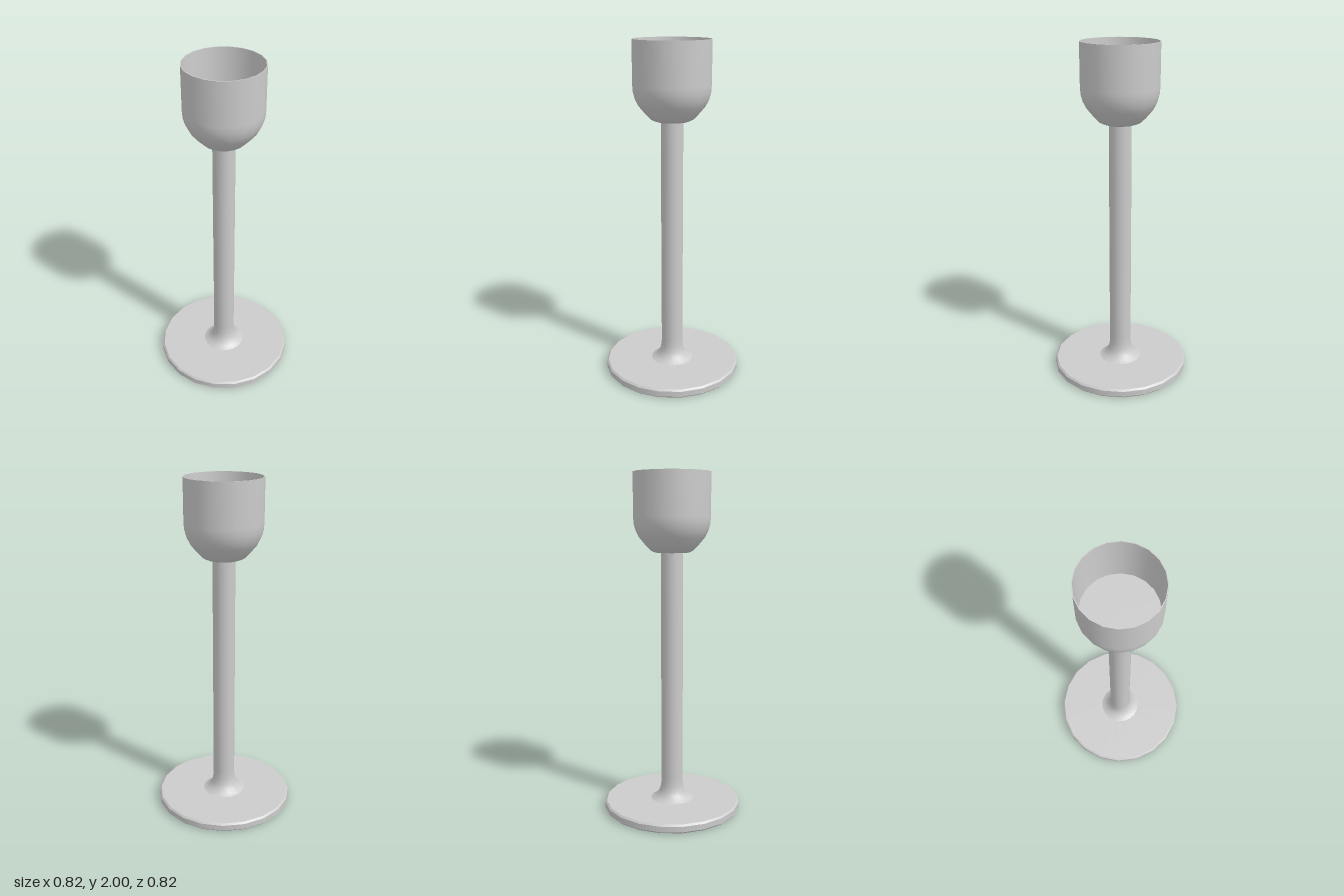
import * as THREE from 'three';

const SIDES = 20;
const material = new THREE.MeshStandardMaterial({ color: 0xcccccc });

// A turned part: each run is smooth, with a sharp edge where runs meet.
function turned(name, runs) {
  const group = new THREE.Group();
  group.name = name;
  runs.forEach((run, i) => {
    const points = run.map(([r, y]) => new THREE.Vector2(r, y));
    const mesh = new THREE.Mesh(new THREE.LatheGeometry(points, SIDES), material);
    mesh.name = `${name}Surface${i + 1}`;
    group.add(mesh);
  });
  return group;
}

export function createModel() {
  const model = new THREE.Group();
  model.name = 'candleHolder';

  // Round foot with bevelled edges
  model.add(turned('foot', [
    [[0, 0], [0.4, 0]],
    [[0.4, 0], [0.41, 0.01]],
    [[0.41, 0.01], [0.41, 0.043]],
    [[0.41, 0.043], [0.4, 0.053]],
    [[0.4, 0.053], [0.128, 0.053]],
  ]));

  // Stem flaring into the foot
  model.add(turned('stem', [
    [[0.128, 0.053], [0.106, 0.064], [0.086, 0.084], [0.073, 0.11], [0.066, 0.145], [0.065, 0.19], [0.065, 1.545]],
  ]));

  // Cup: rounded outside, rim, tapered inner wall and flat floor
  model.add(turned('cup', [
    [[0.065, 1.545], [0.1, 1.547], [0.123, 1.557], [0.153, 1.588], [0.19, 1.632],
      [0.21, 1.67], [0.221, 1.71], [0.224, 1.75], [0.224, 2]],
    [[0.224, 2], [0.219, 2]],
    [[0.219, 2], [0.208, 1.7]],
    [[0.208, 1.7], [0, 1.7]],
  ]));

  return model;
}
